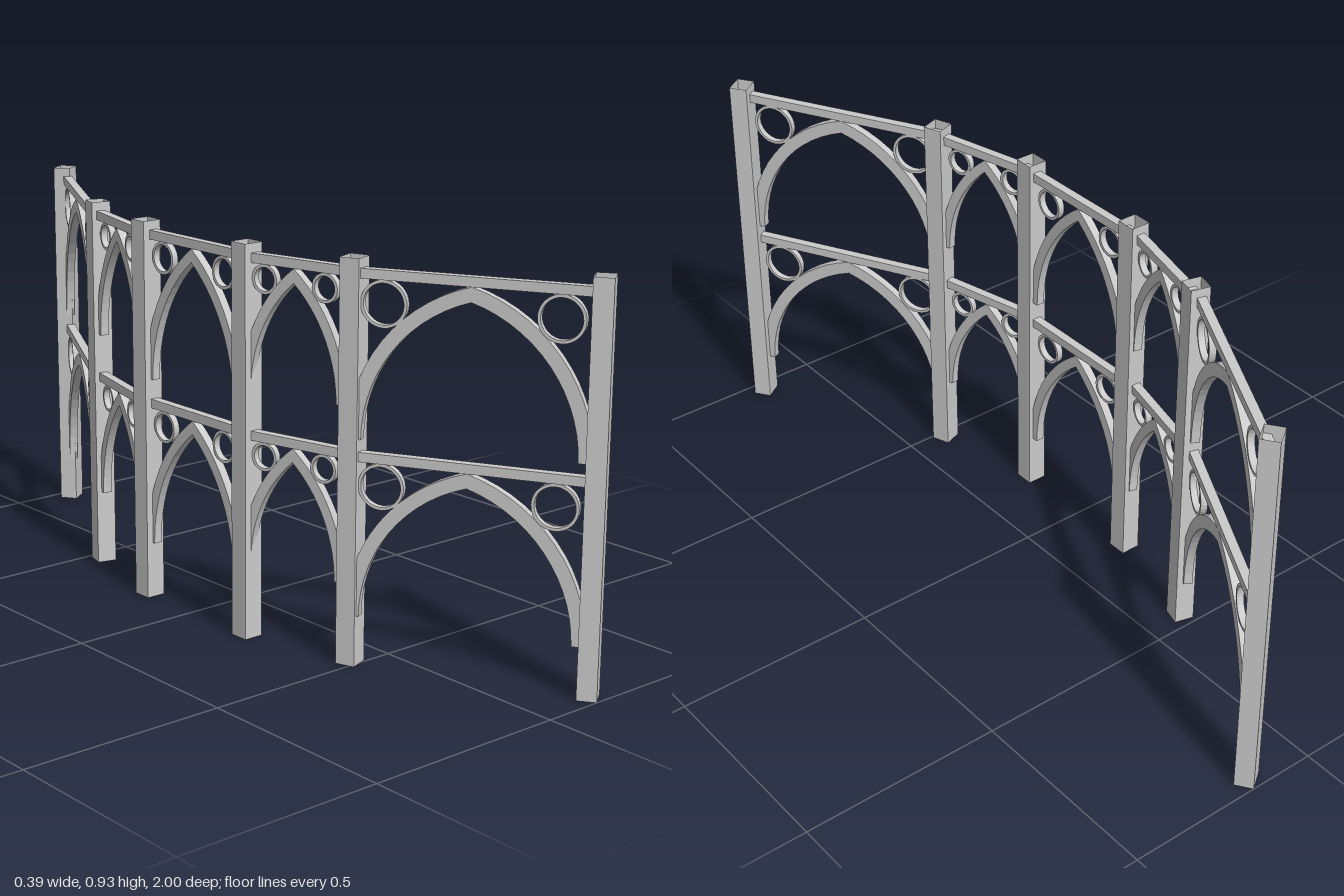
import * as THREE from 'three';

const GREY = new THREE.MeshStandardMaterial({ color: 0xcccccc, side: THREE.DoubleSide });
const FLAT = new THREE.MeshStandardMaterial({ color: 0xcccccc, side: THREE.DoubleSide, flatShading: true });

const POST_HEIGHT = 0.932;
const RAIL = { height: 0.022, depth: 0.022 };
const TIERS = [0.478, 0.888]; // underside of each rail

function mesh(name, geometry, material = GREY) {
  const m = new THREE.Mesh(geometry, material);
  m.name = name;
  return m;
}

// Extrude a shape and centre it on its own depth
function slab(shape, depth, curveSegments) {
  const g = new THREE.ExtrudeGeometry(shape, { depth, bevelEnabled: false, curveSegments });
  return g.translate(0, 0, -depth / 2);
}

// Hollow square post, open at both ends
function post(x, z, width, depth, degrees) {
  const g = new THREE.CylinderGeometry(Math.SQRT1_2, Math.SQRT1_2, POST_HEIGHT, 4, 1, true, Math.PI / 4);
  g.scale(width, 1, depth);
  const m = mesh('post', g, FLAT);
  m.position.set(x, POST_HEIGHT / 2, z);
  m.rotation.y = THREE.MathUtils.degToRad(degrees);
  return m;
}

// Pointed arch band: two arcs per edge, apex at y = 0, feet at y = -rise
function archShape(half, rise, band) {
  const radius = (half * half + rise * rise) / (2 * half);
  const centre = half - radius;
  const steps = 14;
  const arc = (r) => {
    const end = Math.acos(-centre / r);
    return Array.from({ length: steps + 1 }, (_, i) => {
      const a = (end * i) / steps;
      return new THREE.Vector2(centre + r * Math.cos(a), r * Math.sin(a) - rise);
    });
  };
  const mirrored = (points) => points.map((p) => new THREE.Vector2(-p.x, p.y)).reverse();
  const outer = arc(radius);
  const inner = arc(radius - band);
  const outline = [
    ...outer, ...mirrored(outer).slice(1),
    ...mirrored(inner).reverse(), ...inner.slice().reverse().slice(1),
  ];
  return new THREE.Shape(outline);
}

function ringShape(radius, band) {
  const s = new THREE.Shape().absarc(0, 0, radius, 0, Math.PI * 2, false);
  s.holes.push(new THREE.Path().absarc(0, 0, radius - band, 0, Math.PI * 2, true));
  return s;
}

// One bay between two posts: rail, arch and two corner rings on each tier
function bay({ from, to, rise, band, ring }) {
  const [x0, z0] = from;
  const [x1, z1] = to;
  const length = Math.hypot(x1 - x0, z1 - z0);
  const half = length / 2;
  const g = new THREE.Group();
  g.name = 'bay';
  g.position.set((x0 + x1) / 2, 0, (z0 + z1) / 2);
  g.rotation.y = Math.atan2(z0 - z1, x1 - x0);

  for (const y of TIERS) {
    const rail = mesh('rail', new THREE.BoxGeometry(length, RAIL.height, RAIL.depth));
    rail.position.y = y + RAIL.height / 2;
    const arch = mesh('arch', slab(archShape(half, rise, band), 0.021, 1), FLAT);
    arch.position.y = y;
    g.add(rail, arch);
    for (const side of [-1, 1]) {
      const r = mesh('cornerRing', slab(ringShape(ring, 0.007), 0.016, 16));
      r.position.set(side * (half - 0.026 - ring), y - ring, 0);
      g.add(r);
    }
  }
  return g;
}

export function createModel() {
  const model = new THREE.Group();
  model.name = 'arcadeScreen';

  // Posts along the bowed line: x, z, width, depth, turn
  const posts = [
    [0.155, 0.9665, 0.053, 0.045, 35],
    [-0.101, 0.481, 0.049, 0.047, 20],
    [-0.17, 0.2, 0.049, 0.049, 0],
    [-0.17, -0.173, 0.049, 0.049, 0],
    [-0.101, -0.46, 0.048, 0.046, -15],
    [0.156, -0.9665, 0.053, 0.045, 35],
  ];
  for (const p of posts) model.add(post(...p));

  // Bays, front to back
  const wide = { rise: 0.36, band: 0.032, ring: 0.053 };
  const narrow = { rise: 0.29, band: 0.025, ring: 0.034 };
  const middle = { rise: 0.34, band: 0.026, ring: 0.039 };
  const bays = [
    { from: [0.146, 0.965], to: [-0.112, 0.48], ...wide },
    { from: [-0.107, 0.472], to: [-0.173, 0.197], ...narrow },
    { from: [-0.167, 0.186], to: [-0.167, -0.168], ...middle },
    { from: [-0.175, -0.178], to: [-0.105, -0.45], ...narrow },
    { from: [-0.108, -0.463], to: [0.16, -0.966], ...wide },
  ];
  for (const b of bays) model.add(bay(b));

  return model;
}
